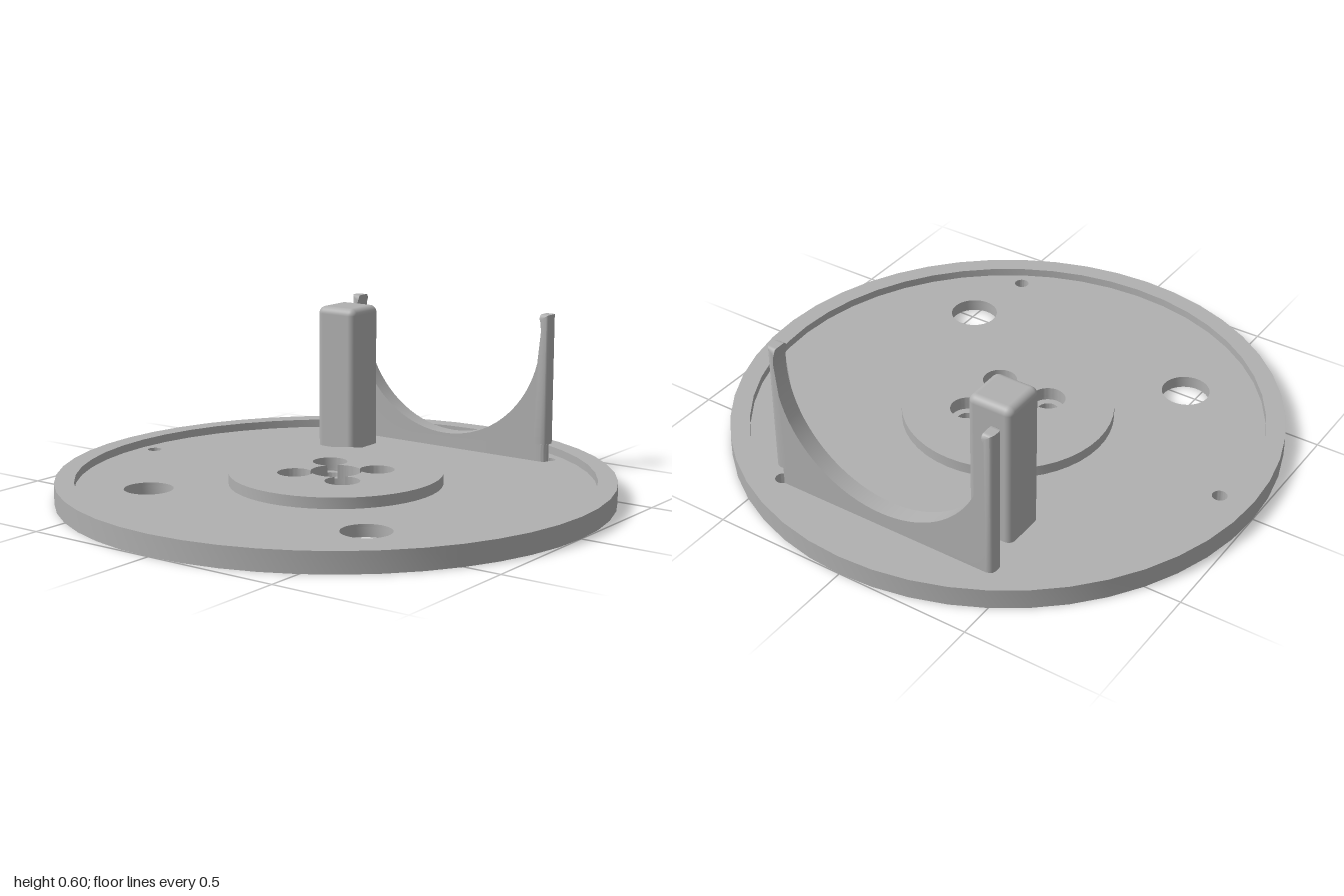
import * as THREE from 'three';
import { toCreasedNormals } from 'three/addons/utils/BufferGeometryUtils.js';
import { RoundedBoxGeometry } from 'three/addons/geometries/RoundedBoxGeometry.js';

const FLOOR = 0.045, BORE_FLOOR = 0.035, RIM_TOP = 0.075, HUB_TOP = 0.085;
const HUB_R = 0.385, RECESS_R = 0.93;
const CENTRE_R = 0.091, BORE_R = 0.063, BORE_D = 0.149;
const BOLT = { x: 0.7535, z: 0.435, r: 0.027 };
const ARCH = { x0: 0.705, x1: 0.77, end: 0.45, top: 0.6, round: 0.025, cy: 0.52, r: 0.42, notch: 0.11, foot: 0.4 };

// Circle in plan; shape y is -z
function circle(Type, x, z, r) {
  const c = new Type();
  c.absarc(x, -z, r, 0, Math.PI * 2, false);
  return c;
}
const hole = (x, z, r) => circle(THREE.Path, x, z, r);

// Upright slab from a plan shape, between two heights
function slab(shape, holes, y0, y1) {
  shape.holes.push(...holes);
  const g = new THREE.ExtrudeGeometry(shape, { depth: y1 - y0, bevelEnabled: false, curveSegments: 24 });
  g.rotateX(-Math.PI / 2).translate(0, y0, 0);
  return toCreasedNormals(g, 0.6);
}

// Centre bore merged with the four counterbores that break into it
function cloverHole() {
  const p = new THREE.Path();
  const a = (BORE_D ** 2 + CENTRE_R ** 2 - BORE_R ** 2) / (2 * BORE_D);
  const h = Math.sqrt(CENTRE_R ** 2 - a * a);
  const inner = Math.atan2(h, a), outer = Math.atan2(h, BORE_D - a);
  for (let i = 0; i < 4; i++) {
    const t = Math.PI / 4 + i * Math.PI / 2;
    p.absarc(BORE_D * Math.cos(t), BORE_D * Math.sin(t), BORE_R, t - Math.PI + outer, t + Math.PI - outer, false);
    p.absarc(0, 0, CENTRE_R, t + inner, t + Math.PI / 2 - inner, false);
  }
  return p;
}

// Cradle: side profile with a round cut, its end walls and tips rounded across the thickness
function cradleGeometry() {
  const { x0, x1, end, top, round, cy, r, notch, foot } = ARCH;
  const tip = Math.asin((top - cy) / r);
  const s = new THREE.Shape();
  s.moveTo(-foot, FLOOR);
  s.lineTo(end, FLOOR);
  s.lineTo(end, top);
  s.lineTo(r * Math.cos(tip), top);
  s.absarc(0, cy, r, tip, -Math.PI - tip, true);
  s.lineTo(-end, top);
  s.lineTo(-end, notch);
  s.lineTo(-foot, notch);
  s.closePath();
  const g = new THREE.ExtrudeGeometry(s, { depth: x1 - x0, steps: 14, bevelEnabled: false, curveSegments: 24 });
  g.rotateY(Math.PI / 2).translate(x0, 0, 0);
  const pos = g.attributes.position;
  const arc = (x, rad) => {
    const d = Math.max(0, rad - Math.min(x - x0, x1 - x));
    return rad - Math.sqrt(Math.max(0, rad * rad - d * d));
  };
  for (let i = 0; i < pos.count; i++) {
    const x = pos.getX(i), z = pos.getZ(i);
    if (Math.abs(z) > end - 1e-4) pos.setZ(i, z - Math.sign(z) * arc(x, round));
    if (pos.getY(i) > top - 1e-4) pos.setY(i, top - arc(x, 0.015));
  }
  return toCreasedNormals(g, 0.6);
}

// Front foot of the cradle, bitten away around the bolt hole
function footShape() {
  const { x0, x1, foot, end, round } = ARCH;
  const s = new THREE.Shape();
  const stop = Math.acos((x1 - BOLT.x) / BOLT.r);
  s.moveTo(x1, -foot);
  s.lineTo(x0, -foot);
  s.lineTo(x0, -(end - round));
  s.absarc(x0 + round, -(end - round), round, Math.PI, Math.PI * 1.48, false);
  s.absarc(BOLT.x, -BOLT.z, BOLT.r, Math.PI * 1.17, stop, true);
  s.closePath();
  return s;
}

export function createModel() {
  const group = new THREE.Group();
  const grey = new THREE.MeshStandardMaterial({ color: 0xb0b0b0 });
  grey.name = 'plain grey';
  const add = (name, geometry) => {
    const m = new THREE.Mesh(geometry, grey);
    m.name = name;
    group.add(m);
    return m;
  };

  // Holes through the floor: two large, three small near the rim
  const floorHoles = () => [
    hole(-0.473, -0.473, 0.088), hole(-0.473, 0.473, 0.088),
    hole(0, -0.87, BOLT.r), hole(-0.7535, 0.435, BOLT.r), hole(BOLT.x, BOLT.z, BOLT.r),
  ];
  const screwHoles = [];
  for (const sx of [-1, 1]) for (const sz of [-1, 1]) {
    screwHoles.push(hole(sx * BORE_D * Math.SQRT1_2, sz * BORE_D * Math.SQRT1_2, 0.0375));
  }

  // Base disc, recessed inside a raised rim
  add('baseLower', slab(circle(THREE.Shape, 0, 0, RECESS_R),
    [...floorHoles(), ...screwHoles, hole(0, 0, CENTRE_R)], 0, BORE_FLOOR));
  add('baseUpper', slab(circle(THREE.Shape, 0, 0, RECESS_R),
    [...floorHoles(), cloverHole()], BORE_FLOOR, FLOOR));
  add('rim', slab(circle(THREE.Shape, 0, 0, 1), [hole(0, 0, RECESS_R)], 0, RIM_TOP));
  add('hub', slab(circle(THREE.Shape, 0, 0, HUB_R), [cloverHole()], FLOOR, HUB_TOP));

  // Upright parts
  add('post', new RoundedBoxGeometry(0.172, 0.58, 0.172, 4, 0.027)).position.set(0.525, 0.3, -0.332);
  add('cradle', cradleGeometry());
  add('cradleFoot', slab(footShape(), [], FLOOR, ARCH.notch));
  return group;
}
